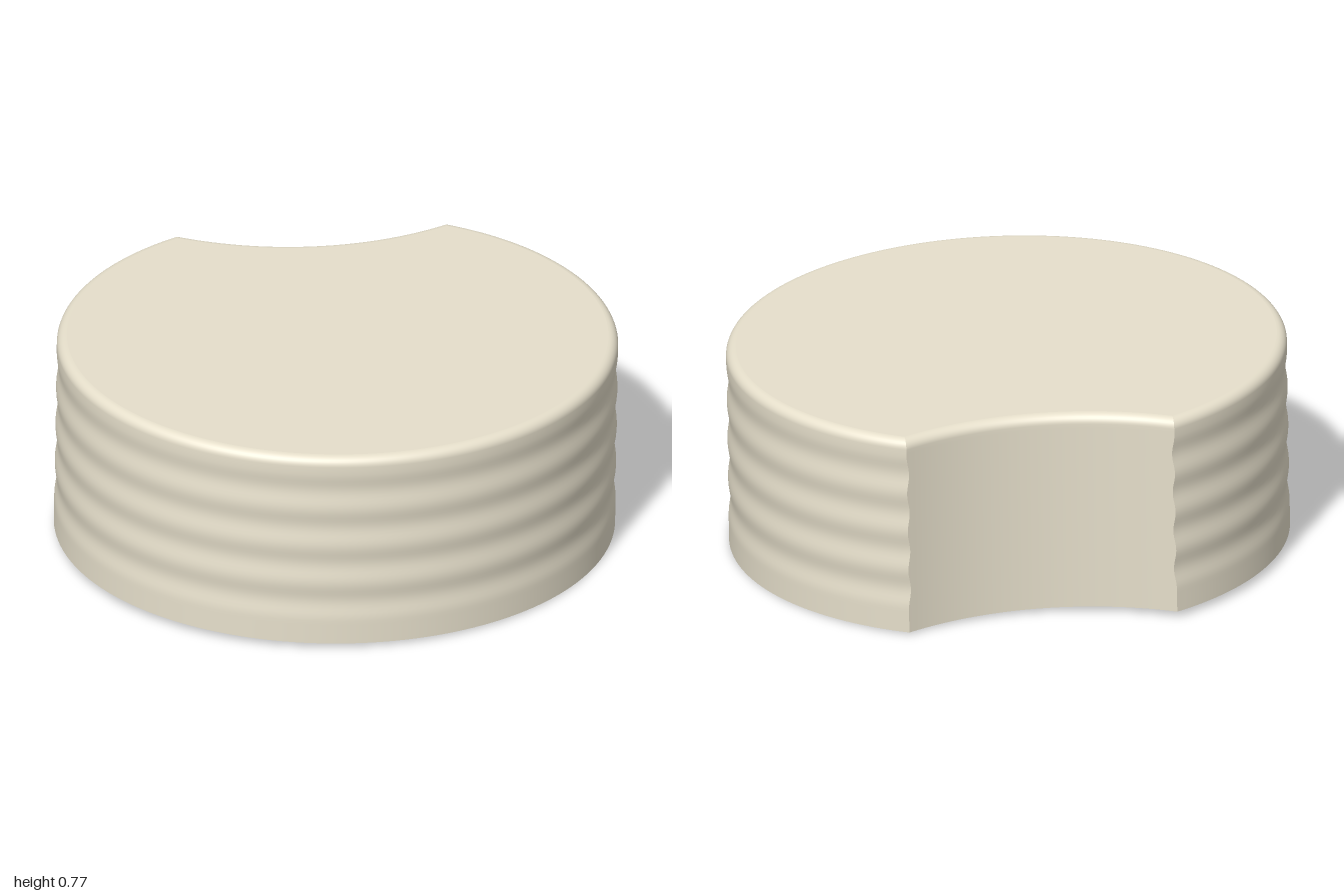
import * as THREE from 'three';

const A = 0.993, B = 0.92, CZ = -0.05;        // oval body radii and centre
const BITE = { x: 0.08, z: -1.755, r: 1.02 }; // round bite out of the back
const H = 0.74, BEVEL = 0.035, TILT = 0.0155;
const N_OUTER = 140, N_BITE = 40;

const onOval = (t, d) => [(A - d) * Math.cos(t), CZ + (B - d) * Math.sin(t)];

// Angle where the oval meets the bite, searched from a bitten to a solid angle
function corner(bitten, solid, d, dBite) {
  for (let i = 0; i < 40; i++) {
    const t = (bitten + solid) / 2;
    const [x, z] = onOval(t, d);
    if (Math.hypot(x - BITE.x, z - BITE.z) < BITE.r + dBite) bitten = t;
    else solid = t;
  }
  return solid;
}

// One level of the body: points of the outer wall and of the bite wall
function ring({ y, d, dBite }) {
  const t0 = corner(-Math.PI / 2, 0, d, dBite);
  const t1 = corner(-Math.PI / 2, -Math.PI, d, dBite) + Math.PI * 2;
  const outer = [], bite = [];
  for (let i = 0; i <= N_OUTER; i++) {
    const [x, z] = onOval(t0 + (t1 - t0) * i / N_OUTER, d);
    outer.push([x, y, z]);
  }
  const angle = ([x, , z]) => Math.atan2(z - BITE.z, x - BITE.x);
  const a0 = angle(outer[N_OUTER]), a1 = angle(outer[0]), r = BITE.r + dBite;
  for (let i = 0; i <= N_BITE; i++) {
    const a = a0 + (a1 - a0) * i / N_BITE;
    bite.push([BITE.x + r * Math.cos(a), y, BITE.z + r * Math.sin(a)]);
  }
  return { outer, bite };
}

function geometry(points, index) {
  const g = new THREE.BufferGeometry();
  g.setAttribute('position', new THREE.Float32BufferAttribute(points.flat(), 3));
  g.setIndex(index);
  g.computeVertexNormals();
  return g;
}

// Smooth skin through stacked rows of points
function skin(rows) {
  const n = rows[0].length, index = [];
  for (let j = 0; j < rows.length - 1; j++) {
    for (let i = 0; i < n - 1; i++) {
      const a = j * n + i, b = a + 1, c = a + n, e = c + 1;
      index.push(a, c, b, b, c, e);
    }
  }
  return geometry(rows.flat(), index);
}

// Flat cap fanned from the middle
function cap({ outer, bite }, y, up) {
  const loop = [...outer, ...bite.slice(1, -1)], n = loop.length, index = [];
  for (let i = 0; i < n; i++) {
    const a = i + 1, b = (i + 1) % n + 1;
    index.push(0, ...(up ? [b, a] : [a, b]));
  }
  return geometry([[0, y, 0], ...loop], index);
}

export function createModel() {
  const material = new THREE.MeshStandardMaterial({ color: 0xe6dfcb });

  // Wall profile: four shallow grooves, then a rounded top edge
  const profile = [];
  const wallTop = H - BEVEL, steps = 48, low = 0.09, high = 0.68;
  for (let i = 0; i <= steps; i++) {
    const y = wallTop * i / steps;
    const k = THREE.MathUtils.clamp((y - low) / (high - low), 0, 1);
    profile.push({ y, d: 0.004 * (1 - Math.cos(k * 8 * Math.PI)), dBite: 0 });
  }
  for (let i = 1; i <= 8; i++) {
    const a = i / 8 * Math.PI / 2, d = BEVEL * (1 - Math.cos(a));
    profile.push({ y: wallTop + BEVEL * Math.sin(a), d, dBite: d });
  }
  const rings = profile.map(ring);

  const body = new THREE.Group();
  body.name = 'body';
  const add = (name, g) => {
    const mesh = new THREE.Mesh(g, material);
    mesh.name = name;
    body.add(mesh);
  };
  add('groovedWall', skin(rings.map(r => r.outer)));
  add('biteWall', skin(rings.map(r => r.bite)));
  add('topFace', cap(rings[rings.length - 1], H, true));
  add('bottomFace', cap(rings[0], 0, false));

  // Slight lean towards +x
  body.rotation.z = -TILT;
  body.position.set(-0.006, A * TILT, 0);

  const model = new THREE.Group();
  model.name = 'bittenDisc';
  model.add(body);
  return model;
}
